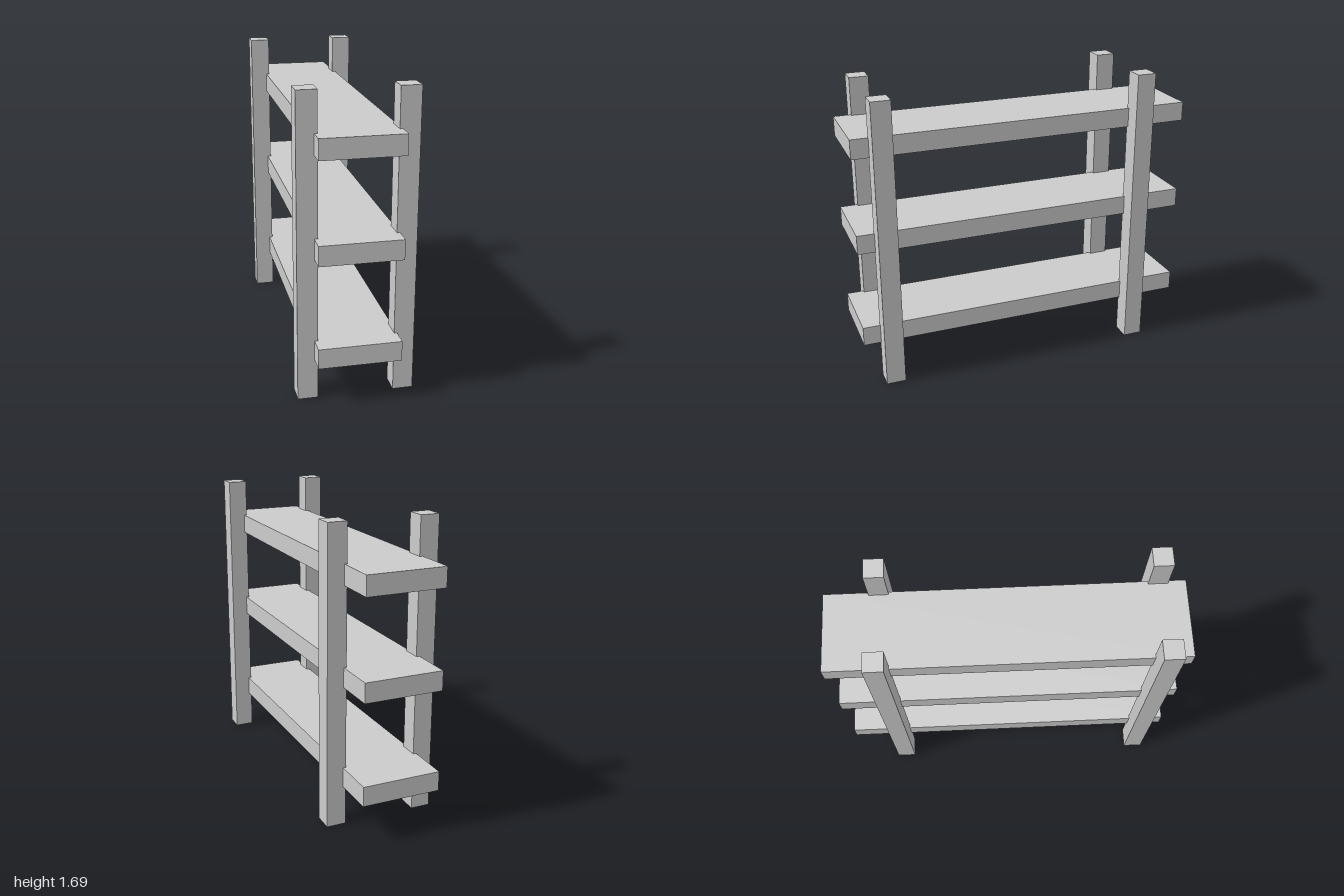
import * as THREE from 'three';

const POST = { width: 0.111, height: 1.687, x: 0.264, z: [0.844, -0.694] };
const SHELF = { width: 0.452, thickness: 0.112, length: 2, y: [0.283, 0.859, 1.412] };

// Box post standing on y = 0, hollow with an open bottom
function postGeometry() {
  const geometry = new THREE.BoxGeometry(POST.width, POST.height, POST.width);
  const bottom = geometry.groups[3];
  const index = Array.from(geometry.index.array);
  index.splice(bottom.start, bottom.count);
  geometry.setIndex(index);
  geometry.clearGroups();
  geometry.translate(0, POST.height / 2, 0);
  return geometry;
}

export function createModel() {
  const model = new THREE.Group();
  model.name = 'shelfRack';
  const shelfMaterial = new THREE.MeshStandardMaterial({ color: 0xcccccc });
  const postMaterial = new THREE.MeshStandardMaterial({ color: 0xcccccc, side: THREE.DoubleSide });

  // Four upright posts
  const post = postGeometry();
  POST.z.forEach((z, i) => {
    for (const side of [1, -1]) {
      const mesh = new THREE.Mesh(post, postMaterial);
      mesh.name = (i === 0 ? 'front' : 'back') + (side > 0 ? 'Left' : 'Right') + 'Post';
      mesh.position.set(side * POST.x, 0, z);
      model.add(mesh);
    }
  });

  // Three long shelves let slightly into the posts
  const board = new THREE.BoxGeometry(SHELF.width, SHELF.thickness, SHELF.length);
  SHELF.y.forEach((y, i) => {
    const mesh = new THREE.Mesh(board, shelfMaterial);
    mesh.name = ['lower', 'middle', 'upper'][i] + 'Shelf';
    mesh.position.set(-0.001, y, 0);
    model.add(mesh);
  });

  return model;
}
